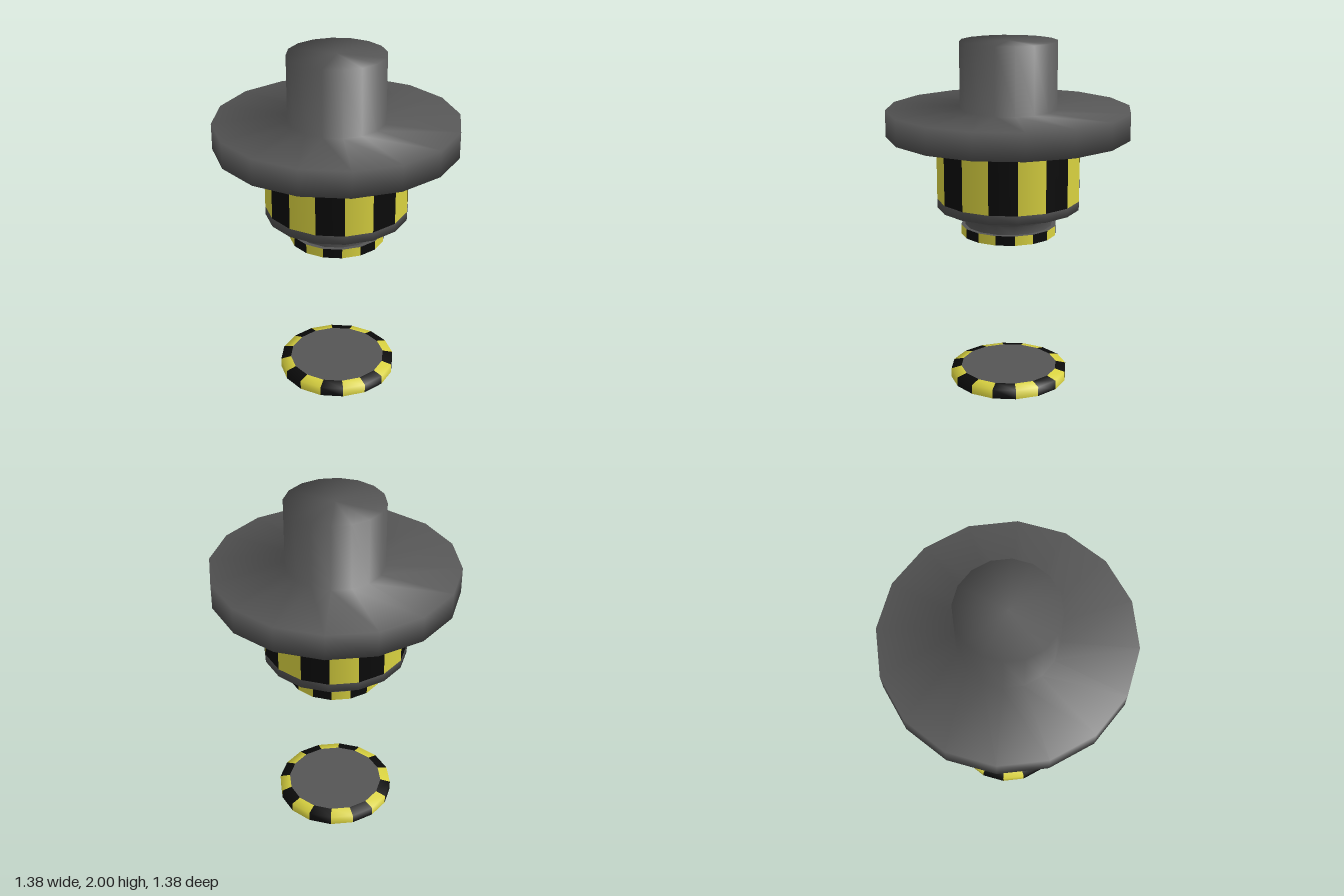
import * as THREE from 'three';

const SIDES = 16;

export function createModel() {
  const model = new THREE.Group();
  model.name = 'stripedDevice';
  const grey = new THREE.MeshStandardMaterial({ name: 'dark grey', color: 0x555555 });
  const black = new THREE.MeshStandardMaterial({ name: 'black', color: 0x0b0b0b });
  const yellow = new THREE.MeshStandardMaterial({ name: 'yellow', color: 0xd9d240 });

  // Surface of revolution from [radius, y] pairs, listed upwards for outward faces
  const turned = (name, profile, material, parent = model) => {
    const points = profile.map(([r, y]) => new THREE.Vector2(r, y));
    const geometry = new THREE.LatheGeometry(points, SIDES);
    const mesh = new THREE.Mesh(geometry, material);
    mesh.name = name;
    parent.add(mesh);
    return mesh;
  };

  // Same, with every other side painted yellow
  const striped = (name, profile, parent = model) => {
    const mesh = turned(name, profile, [black, yellow], parent);
    const count = 6 * (profile.length - 1);
    for (let i = 0; i < SIDES; i++) mesh.geometry.addGroup(i * count, count, i % 2);
    return mesh;
  };

  // Upper body: cap cylinder and wide flange
  turned('flangeAndCap', [
    [0.41, 1.475], [0.69, 1.475], [0.69, 1.625], [0.275, 1.625], [0.275, 2], [0, 2],
  ], grey);

  // Striped drum with the stepped neck beneath it
  striped('drumStripes', [[0.41, 1.11], [0.41, 1.475]]);
  turned('steppedNeck', [
    [0.25, 0.955], [0.25, 1.01], [0.275, 1.01], [0.275, 1.06], [0.41, 1.06], [0.41, 1.11],
  ], grey);

  // Small striped ring that closes the neck
  striped('tipStripes', [[0.275, 0.9], [0.275, 0.955]]);
  turned('tipUnderside', [[0, 0.9], [0.275, 0.9]], grey);
  turned('tipTop', [[0.275, 0.955], [0.25, 0.955]], grey);

  // Separate base plate with a chamfered striped rim and a hollow underside
  const base = new THREE.Group();
  base.name = 'basePlate';
  model.add(base);
  striped('baseRim', [[0.345, 0], [0.345, 0.055], [0.285, 0.07]], base);
  striped('baseInnerWall', [[0.27, 0.04], [0.27, 0]], base);
  turned('baseTop', [[0.285, 0.07], [0, 0.07]], grey, base);
  turned('baseFoot', [[0.27, 0], [0.345, 0]], grey, base);
  turned('baseRecess', [[0, 0.04], [0.27, 0.04]], grey, base);

  return model;
}
